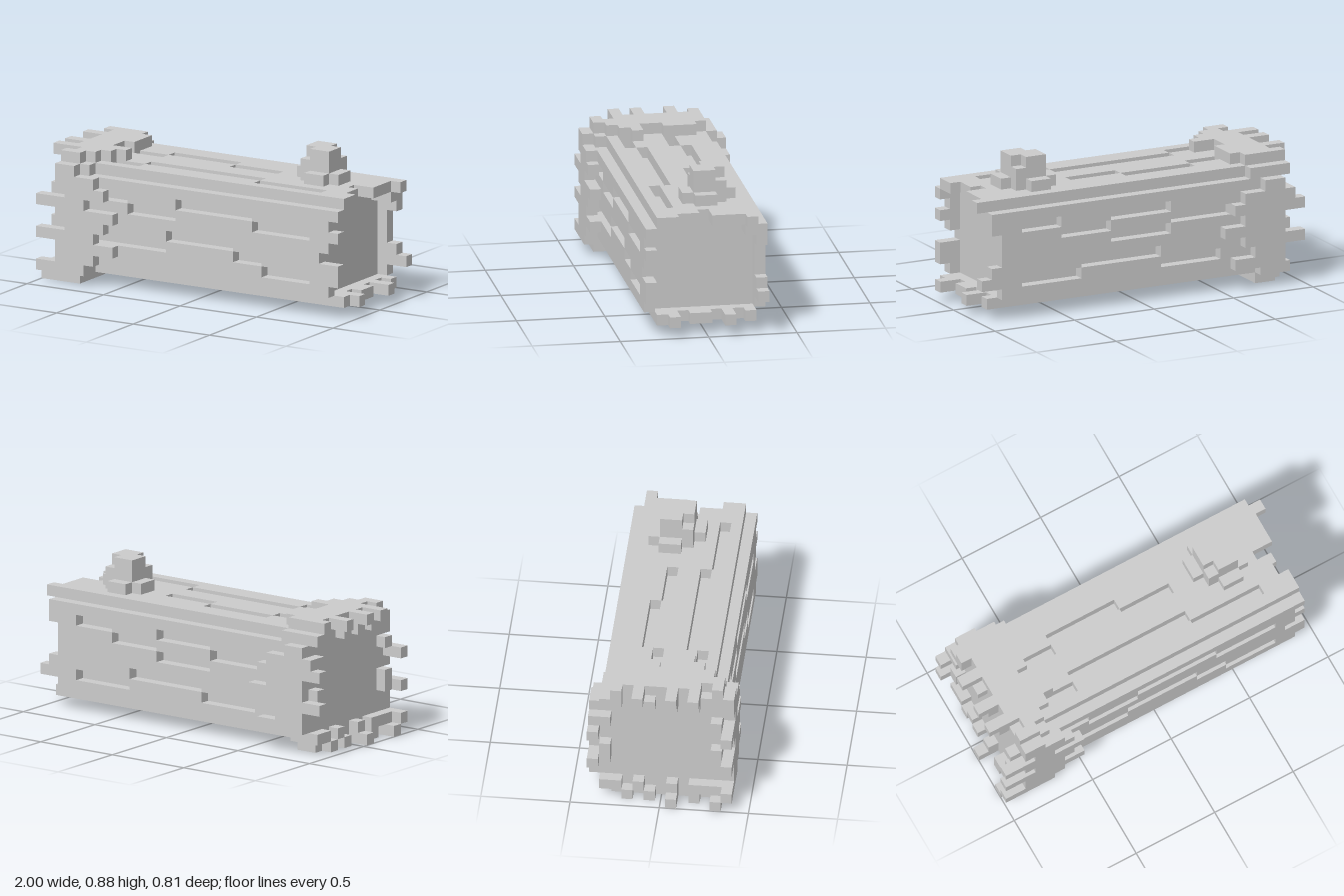
import * as THREE from 'three';

// Blocky log with ragged ends on a 32 x 14 x 13 grid
const U = 1 / 16;
const cells = new Map();
const key = (x, y, z) => x + ',' + y + ',' + z;

function fill(part, x0, x1, y0, y1, z0, z1) {
  for (let x = x0; x < x1; x++)
    for (let y = y0; y < y1; y++)
      for (let z = z0; z < z1; z++) cells.set(key(x, y, z), { part, p: [x, y, z] });
}
function carve(x0, x1, y, z) {
  for (let x = x0; x < x1; x++) cells.delete(key(x, y, z));
}
// Rows along x, each [start, end]; upright rows climb y, flat rows step along z
function uprightSheet(part, z, y0, rows) {
  rows.forEach(([a, b], i) => fill(part, a, b, y0 + i, y0 + i + 1, z, z + 1));
}
function flatSheet(part, y, z0, rows) {
  rows.forEach(([a, b], i) => fill(part, a, b, y, y + 1, z0 + i, z0 + i + 1));
}

function buildCells() {
  cells.clear();
  fill('heartwood', 2, 29, 2, 10, 2, 11);

  // Bark walls with ragged ends
  uprightSheet('frontBark', 11, 2,
    [[2, 30], [2, 31], [1, 31], [1, 29], [2, 30], [2, 31], [1, 30], [2, 31]]);
  uprightSheet('backBark', 1, 2,
    [[2, 30], [2, 32], [1, 31], [1, 30], [2, 30], [2, 30], [1, 31], [2, 31]]);
  flatSheet('topBark', 10, 2,
    [[1, 32], [2, 31], [2, 31], [1, 31], [2, 29], [1, 30], [2, 30], [1, 31], [2, 31]]);
  flatSheet('bottomBark', 1, 2,
    [[1, 31], [2, 30], [1, 32], [2, 30], [2, 31], [1, 31], [2, 30], [1, 32], [1, 31]]);
  // Splinter inside the back corner
  fill('splinter', 29, 31, 9, 10, 2, 3);

  // Grooves in the bark: [start, end, row]
  [[6, 9, 8], [9, 14, 7], [14, 22, 8], [22, 28, 7],
    [5, 13, 4], [13, 20, 5], [20, 23, 4], [23, 28, 3]].forEach(([a, b, y]) => carve(a, b, y, 11));
  [[24, 28, 8], [19, 24, 7], [13, 19, 8], [13, 19, 6], [7, 13, 7],
    [22, 28, 3], [14, 22, 4], [8, 14, 3]].forEach(([a, b, y]) => carve(a, b, y, 1));
  [[6, 9, 5], [9, 16, 4], [16, 21, 5],
    [6, 9, 9], [9, 21, 8], [21, 28, 9]].forEach(([a, b, z]) => carve(a, b, 10, z));

  // Moss wrapped around one end
  uprightSheet('frontMoss', 12, 1,
    [[0, 5], [2, 6], [2, 8], [0, 6], [3, 7], [2, 8], [0, 5], [3, 7], [2, 6], [2, 4]]);
  uprightSheet('backMoss', 0, 2,
    [[2, 7], [2, 5], [0, 6], [2, 8], [2, 6], [0, 7], [1, 6], [2, 4]]);
  flatSheet('topMoss', 11, 2,
    [[1, 5], [2, 6], [0, 6], [2, 6], [2, 5], [0, 5], [2, 7], [0, 6], [3, 5], [2, 4]]);
  flatSheet('bottomMoss', 0, 2,
    [[2, 4], [1, 4], [2, 4], [1, 4], [2, 4], [0, 4], [2, 4], [1, 4], [2, 4], [0, 4]]);
  // Moss in the stepped corners
  fill('cornerMoss', 2, 5, 10, 11, 11, 12);
  fill('cornerMoss', 1, 5, 10, 11, 1, 2);
  fill('cornerMoss', 1, 5, 1, 2, 11, 12);
  fill('cornerMoss', 1, 4, 1, 2, 1, 2);

  // Broken branch on top
  flatSheet('branchBase', 11, 3, [[24, 26], [23, 27], [23, 28], [24, 28], [25, 27]]);
  fill('branchStub', 24, 27, 12, 13, 4, 7);
  flatSheet('branchStub', 13, 4, [[24, 26], [24, 27], [25, 27]]);
}

export function createModel() {
  buildCells();
  const parts = {};
  // Emit only the faces of each cell that are not covered by a neighbour
  for (const { part, p } of cells.values()) {
    const pos = (parts[part] ??= []);
    for (let axis = 0; axis < 3; axis++) {
      for (const side of [0, 1]) {
        const n = [...p];
        n[axis] += side ? 1 : -1;
        if (cells.has(key(...n))) continue;
        const u = (axis + 1) % 3, v = (axis + 2) % 3;
        const corner = (a, b) => {
          const c = [...p];
          c[axis] += side;
          c[u] += a;
          c[v] += b;
          return [c[0] * U - 1, c[1] * U, (c[2] - 6.5) * U];
        };
        const quad = [corner(0, 0), corner(1, 0), corner(1, 1), corner(0, 1)];
        const order = side ? [0, 1, 2, 0, 2, 3] : [0, 2, 1, 0, 3, 2];
        order.forEach((i) => pos.push(...quad[i]));
      }
    }
  }
  const group = new THREE.Group();
  group.name = 'fallenLog';
  const material = new THREE.MeshStandardMaterial({ color: 0xcccccc, flatShading: true });
  for (const [name, pos] of Object.entries(parts)) {
    const geometry = new THREE.BufferGeometry();
    geometry.setAttribute('position', new THREE.Float32BufferAttribute(pos, 3));
    geometry.computeVertexNormals();
    const mesh = new THREE.Mesh(geometry, material);
    mesh.name = name;
    group.add(mesh);
  }
  return group;
}
